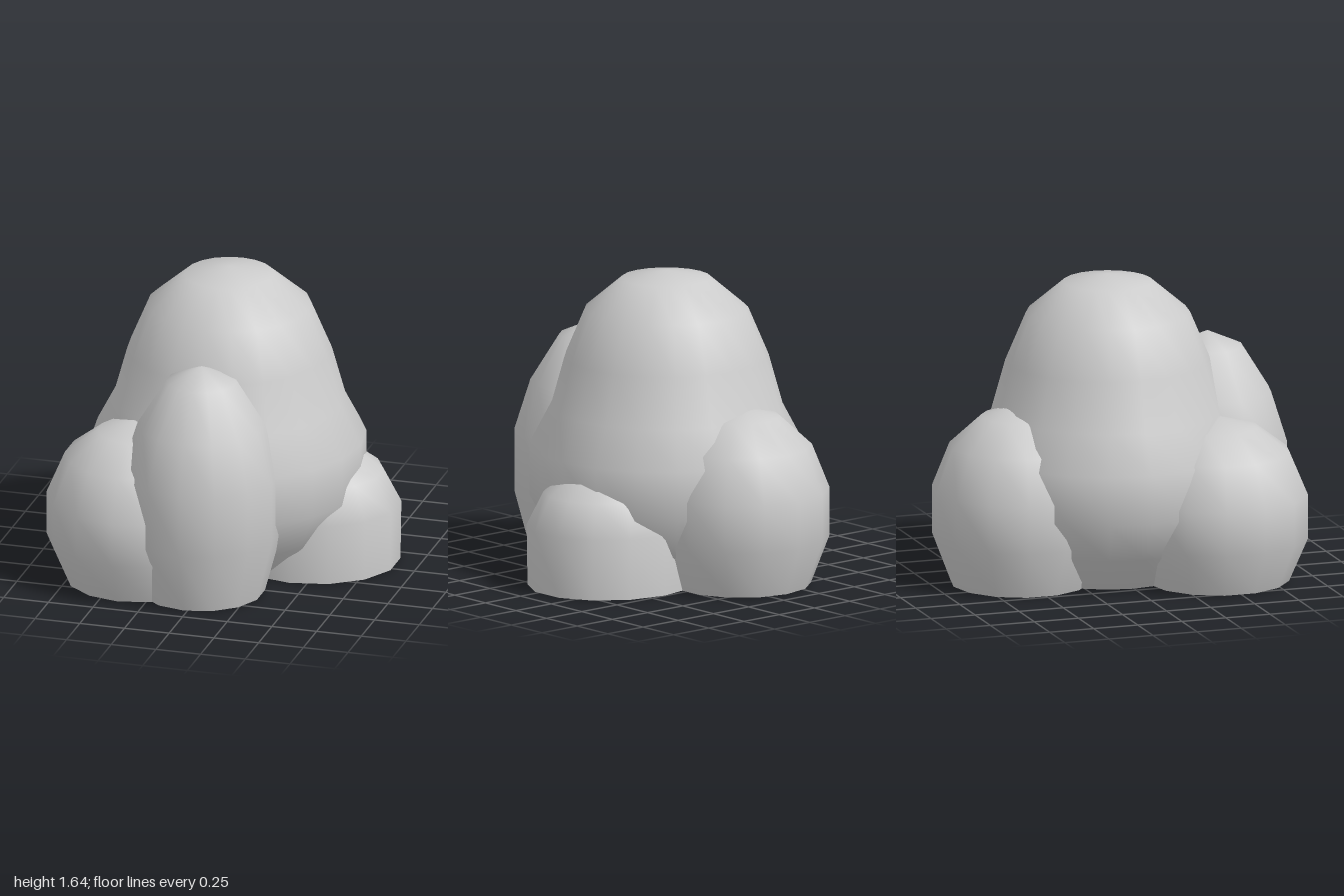
import * as THREE from 'three';

const material = new THREE.MeshStandardMaterial({ color: 0xcccccc, side: THREE.DoubleSide });

// Profiles list [radius, height] from the ground up
const mainX = -0.035;
const mainProfile = [
  [0.43, 0], [0.62, 0.2], [0.735, 0.42], [0.735, 0.69],
  [0.625, 0.9], [0.55, 1.17], [0.44, 1.43], [0.24, 1.6], [0, 1.64],
];

// Egg-shaped profile shared by the tucked-in boulders
function eggProfile(radius, height, shoulder) {
  return [
    [0.79, 0], [1, 0.265], [1, 0.53], [0.8, shoulder], [0.44, 0.935], [0, 1],
  ].map(([r, y]) => [r * radius, y * height]);
}

// One boulder: a smooth turned dome with an open base; depth squashes it along z
function boulder(name, profile, segments, x, z, depth = 1) {
  const points = profile.map(([r, y]) => new THREE.Vector2(r, y));
  const geometry = new THREE.LatheGeometry(points, segments);
  geometry.scale(1, 1, depth);
  // Straight-up normals round off the crown
  const normal = geometry.attributes.normal;
  for (let i = points.length - 1; i < normal.count; i += points.length) normal.setXYZ(i, 0, 1, 0);
  geometry.translate(x, 0, z);
  const mesh = new THREE.Mesh(geometry, material);
  mesh.name = name;
  return mesh;
}

// True where a point lies inside the main rock
function insideMain(x, y, z) {
  const k = mainProfile.findIndex(([, top]) => top > y);
  const [r0, y0] = mainProfile[k - 1];
  const [r1, y1] = mainProfile[k];
  const radius = THREE.MathUtils.mapLinear(y, y0, y1, r0, r1);
  return Math.hypot(x - mainX, z) < radius;
}

// Drops the panels of a boulder that are buried in the main rock
function trimBuried(mesh) {
  const { position, } = mesh.geometry.attributes;
  const index = Array.from(mesh.geometry.index.array);
  const kept = [];
  for (let i = 0; i < index.length; i += 6) {
    const panel = index.slice(i, i + 6);
    const buried = panel.every((v) => insideMain(position.getX(v), position.getY(v), position.getZ(v)));
    if (!buried) kept.push(...panel);
  }
  mesh.geometry.setIndex(kept);
  return mesh;
}

export function createModel() {
  const group = new THREE.Group();
  group.name = 'rockCluster';

  // Tall central rock, bulging low down and narrowing to the ground
  group.add(boulder('mainRock', mainProfile, 20, mainX, 0));

  // Smaller rocks around it, the last a low dome with upright sides
  const lowDome = [[0.48, 0], [0.485, 0.33], [0.39, 0.51], [0.21, 0.64], [0, 0.68]];
  const smallRocks = [
    boulder('frontRock', eggProfile(0.43, 1.28, 0.742), 14, -0.02, 0.57),
    boulder('frontRightRock', eggProfile(0.49, 0.9, 0.785), 14, -0.4, 0.495),
    boulder('backRock', eggProfile(0.475, 0.98, 0.775), 14, -0.11, -0.525),
    boulder('leftRock', lowDome, 14, 0.405, -0.07, 0.89),
  ];
  smallRocks.forEach((rock) => group.add(trimBuried(rock)));

  return group;
}
